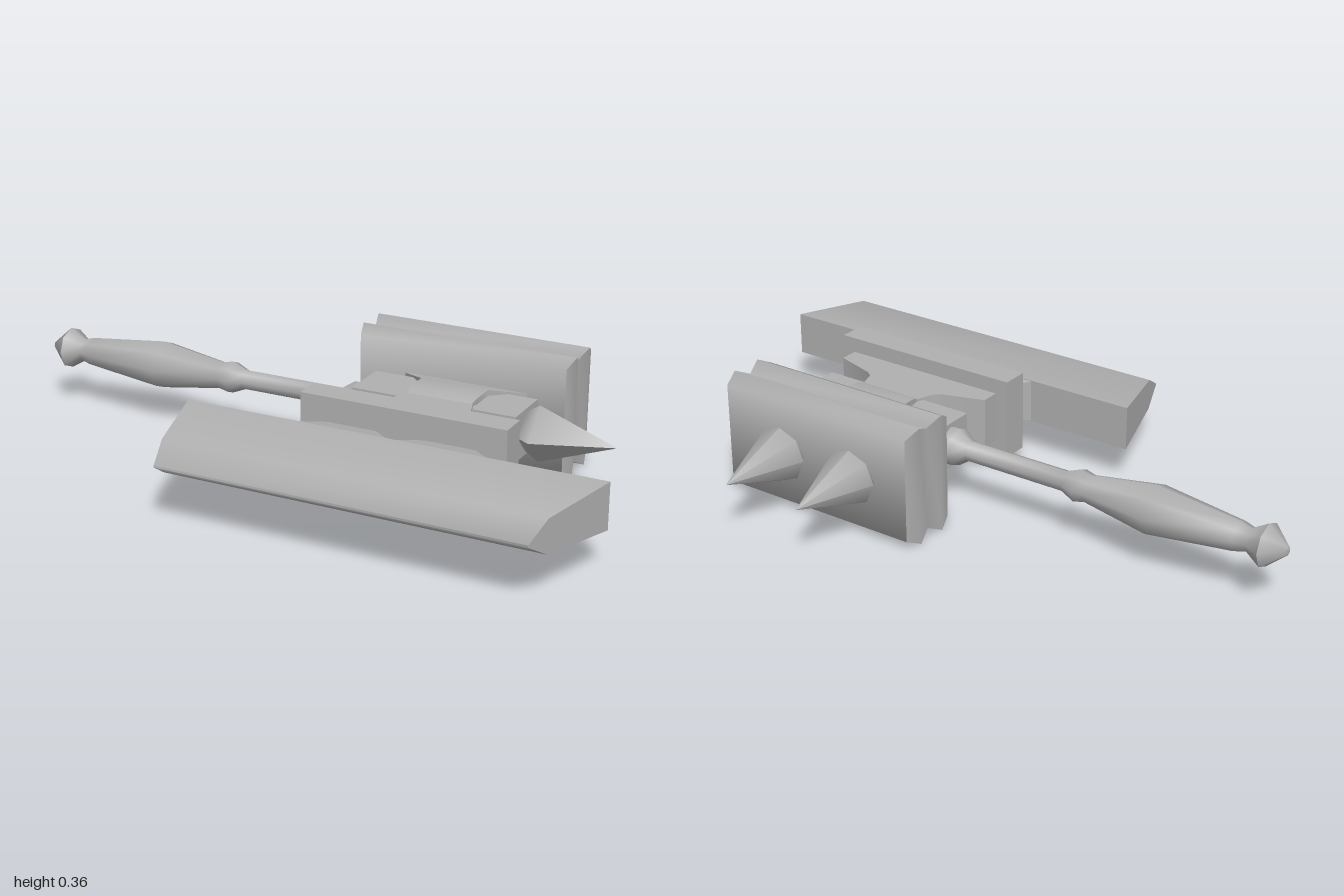
import * as THREE from 'three';
import { toCreasedNormals } from 'three/addons/utils/BufferGeometryUtils.js';

const CREASE = 1.15;
const AXIS_Y = 0.187;
const AXIS_Z = -0.07;

// Rectangles [z, halfWidth, halfHeight] joined in order of rising z
function loft(sections, cx) {
  const pos = [], index = [];
  for (const [z, hx, hy] of sections) {
    for (const [sx, sy] of [[-1, -1], [1, -1], [1, 1], [-1, 1]]) {
      pos.push(cx + sx * hx, AXIS_Y + sy * hy, z);
    }
  }
  for (let s = 0; s < sections.length - 1; s++) {
    for (let i = 0; i < 4; i++) {
      const a = s * 4 + i, b = s * 4 + (i + 1) % 4;
      index.push(a, b, b + 4, a, b + 4, a + 4);
    }
  }
  const e = (sections.length - 1) * 4;
  index.push(0, 2, 1, 0, 3, 2, e, e + 1, e + 2, e, e + 2, e + 3);
  const g = new THREE.BufferGeometry();
  g.setAttribute('position', new THREE.Float32BufferAttribute(pos, 3));
  g.setIndex(index);
  return toCreasedNormals(g, CREASE);
}

// Turned shape from [radius, length] pairs, along +y
function turned(profile, sides) {
  const g = new THREE.LatheGeometry(profile.map(([r, l]) => new THREE.Vector2(r, l)), sides);
  return toCreasedNormals(g, CREASE);
}

export function createModel() {
  const group = new THREE.Group();
  const metal = new THREE.MeshStandardMaterial({ color: 0xb0b0b0 });
  metal.name = 'grey metal';

  const add = (name, geometry) => {
    const mesh = new THREE.Mesh(geometry, metal);
    mesh.name = name;
    group.add(mesh);
    return mesh;
  };
  const alongX = (name, profile, sides) => {
    const mesh = add(name, turned(profile, sides).rotateZ(-Math.PI / 2));
    mesh.position.set(0, AXIS_Y, AXIS_Z);
  };

  // Handle with pommel, swelling grip and thin shaft
  alongX('handle', [
    [0, -1], [0.012, -0.995], [0.065, -0.935], [0.035, -0.885], [0.045, -0.85],
    [0.075, -0.59], [0.042, -0.38], [0.05, -0.345], [0.031, -0.3],
    [0.031, 0.03], [0.058, 0.07], [0.058, 0.11],
  ], 8);

  // Socket around the shaft, and the pointed tip
  const socket = add('socket', new THREE.BoxGeometry(0.51, 0.14, 0.16));
  socket.position.set(0.355, AXIS_Y, AXIS_Z);
  alongX('tipSpike', [[0, 0.6], [0.06, 0.61], [0.085, 0.65], [0, 0.88]], 4);

  // Waisted neck running from the hammer through the socket
  add('hammerNeck', loft([
    [-0.2, 0.2, 0.066], [-0.185, 0.19, 0.066], [-0.11, 0.105, 0.088],
    [-0.03, 0.105, 0.088], [0.012, 0.095, 0.07],
  ], 0.37));
  add('bladeNeck', loft([
    [-0.03, 0.095, 0.078], [0.045, 0.12, 0.078], [0.06, 0.14, 0.078],
    [0.1, 0.27, 0.078], [0.165, 0.27, 0.078],
  ], 0.37));

  // Hammer block with two ridges around its sides
  add('hammerBlock', loft([
    [-0.385, 0.325, 0.158], [-0.335, 0.339, 0.182], [-0.285, 0.324, 0.158],
    [-0.235, 0.339, 0.182], [-0.189, 0.325, 0.158],
  ], 0.353));

  // Pair of spikes on the back of the hammer
  for (const x of [0.213, 0.468]) {
    const spike = add('hammerSpike', turned([[0.07, 0], [0.085, 0.02], [0, 0.255]], 8).rotateX(-Math.PI / 2));
    spike.position.set(x, AXIS_Y, -0.383);
  }

  // Plate holding the blade
  const plate = add('bladePlate', new THREE.BoxGeometry(0.622, 0.25, 0.085));
  plate.position.set(0.37, AXIS_Y, 0.2);

  // Two flared prongs, narrow at the plate and wide at the blade
  for (const side of [-1, 1]) {
    add('bladeProng', loft([[0.235, 0.068, 0.05], [0.32, 0.15, 0.067]], 0.367 + side * 0.147));
  }

  // Broad blade narrowing to its cutting edge
  add('blade', loft([
    [0.313, 0.63, 0.068], [0.56, 0.561, 0.049], [0.637, 0.54, 0.003],
  ], 0.365));

  return group;
}
